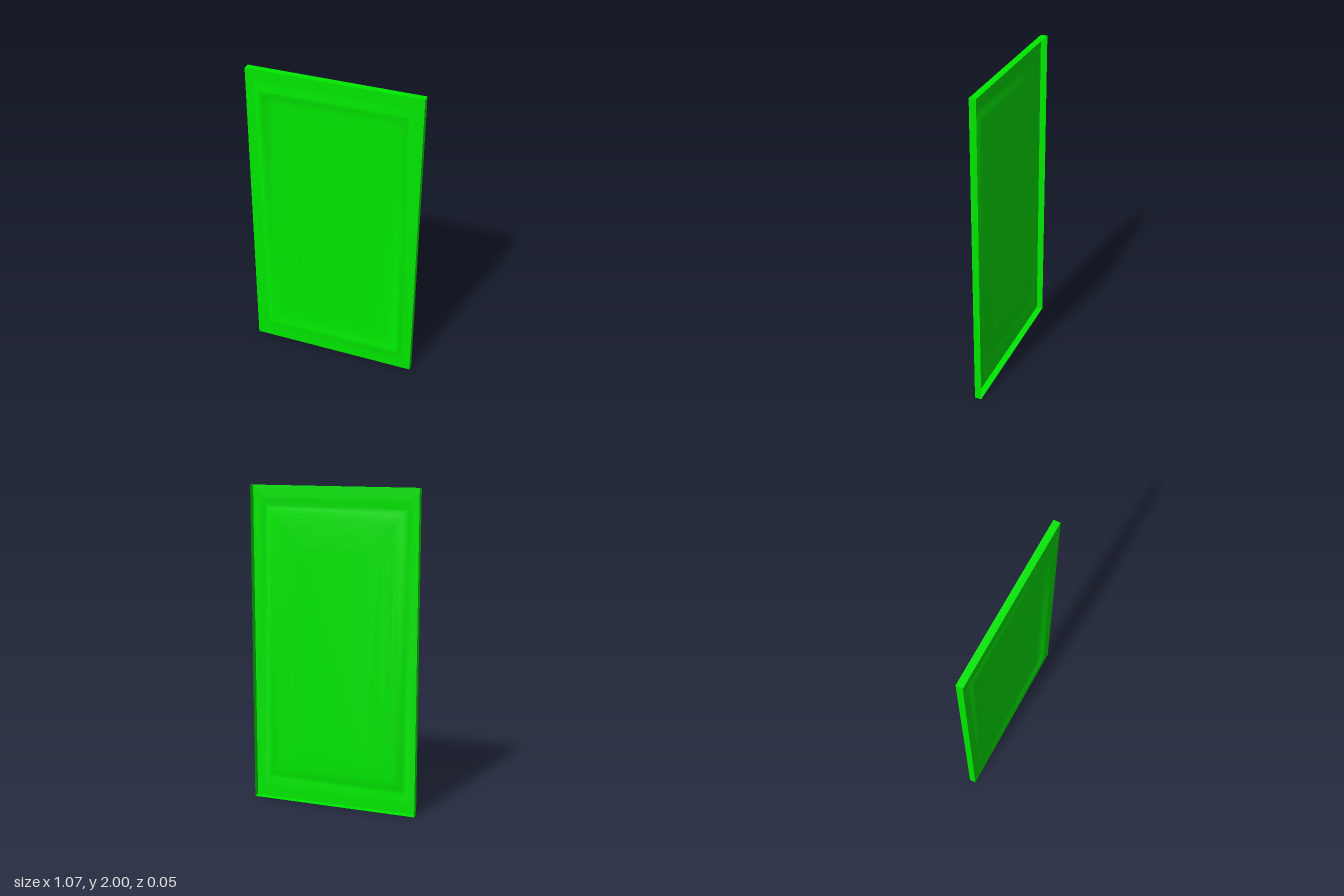
import * as THREE from 'three';

const W = 0.537, H = 1, BACK = -0.026, FACE = 0.016;

// Skin through nested rectangles [halfWidth, halfHeight, z], optionally capped at the last one
function rectLoft(rings, capped) {
  const pos = [], idx = [];
  for (const [w, h, z] of rings) pos.push(-w, -h, z, w, -h, z, w, h, z, -w, h, z);
  for (let r = 0; r < rings.length - 1; r++) {
    for (let i = 0; i < 4; i++) {
      const a = r * 4 + i, b = r * 4 + (i + 1) % 4;
      idx.push(a, b, b + 4, a, b + 4, a + 4);
    }
  }
  if (capped) {
    const c = (rings.length - 1) * 4;
    idx.push(c, c + 1, c + 2, c, c + 2, c + 3);
  }
  const g = new THREE.BufferGeometry();
  g.setAttribute('position', new THREE.Float32BufferAttribute(pos, 3));
  g.setIndex(idx);
  return g;
}

export function createModel() {
  const group = new THREE.Group();
  const green = new THREE.MeshStandardMaterial({ color: 0x00e800, side: THREE.DoubleSide });
  const add = (name, geometry) => {
    geometry.computeVertexNormals();
    const mesh = new THREE.Mesh(geometry, green);
    mesh.name = name;
    mesh.position.y = H;
    group.add(mesh);
  };

  // Pressed sheet: flat border, soft raised bead, shallow dished centre field
  add('pressedPanel', rectLoft([
    [W, H, FACE],
    [0.487, 0.935, FACE],
    [0.475, 0.91, 0.019],
    [0.457, 0.875, 0.025],
    [0.445, 0.862, 0.025],
    [0.42, 0.838, 0.015],
    [0.4, 0.818, 0.009],
    [0.37, 0.79, 0.005],
    [0.3, 0.72, 0.001],
    [0.2, 0.62, -0.002],
  ], true));

  // Folded edge around the open back, creased at the corners
  add('foldedEdge', rectLoft([[W, H, BACK], [W, H, FACE]], false).toNonIndexed());

  return group;
}
